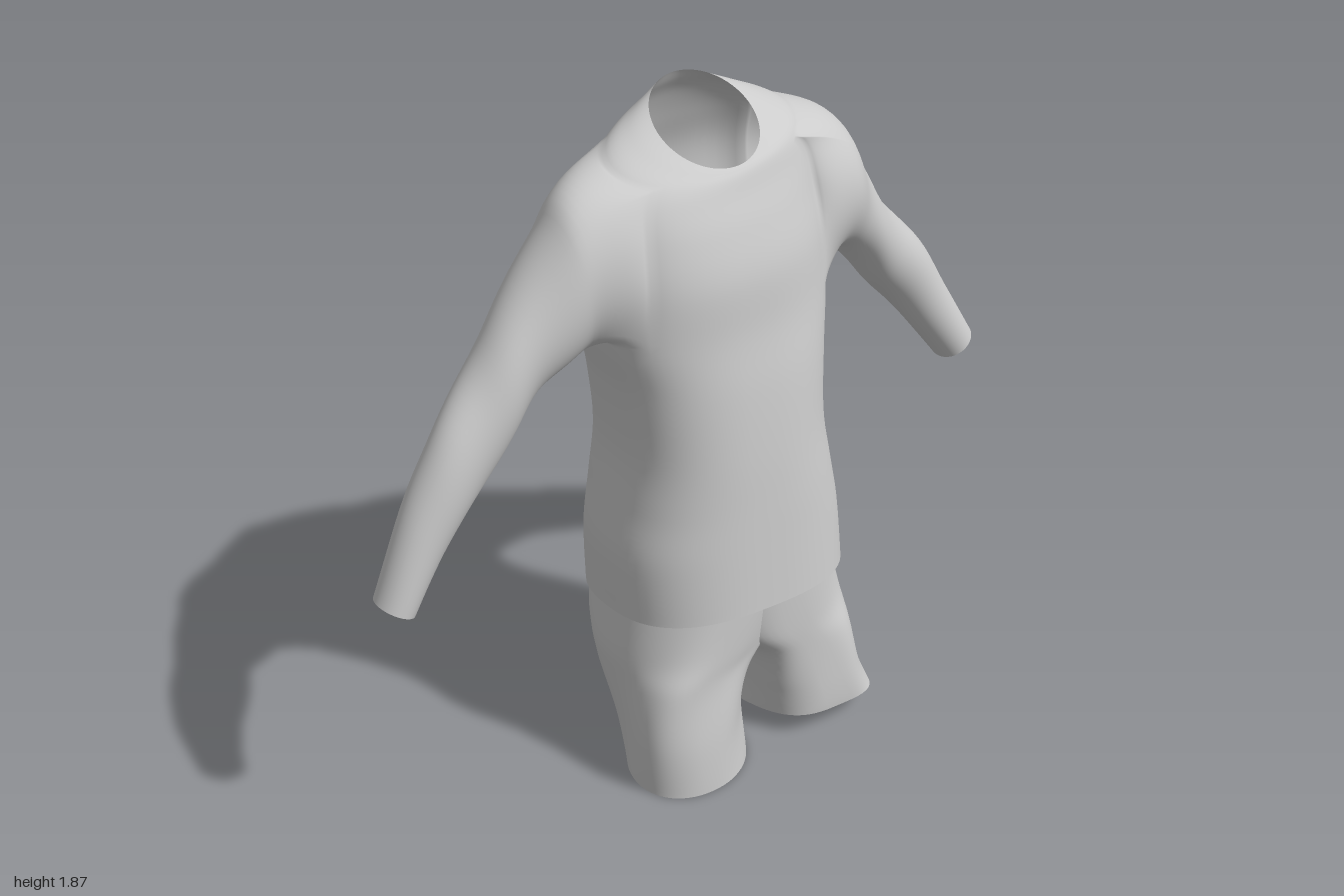
import * as THREE from 'three';

const fabric = new THREE.MeshStandardMaterial({ color: 0xcccccc, side: THREE.DoubleSide });
const SIDES = 64;

// Smoothly interpolates a list of equal-length number rows at t in 0..1
function sample(rows, t) {
  const f = t * (rows.length - 1);
  const i = Math.min(Math.floor(f), rows.length - 2);
  const u = f - i;
  const row = (k) => rows[Math.max(0, Math.min(rows.length - 1, k))];
  return rows[i].map((b, k) => {
    const a = row(i - 1)[k], c = row(i + 1)[k], d = row(i + 2)[k];
    return b + 0.5 * u * (c - a + u * (2 * a - 5 * b + 4 * c - d + u * (3 * (b - c) + d - a)));
  });
}

// Signed power, for rounded-box cross-sections
const spow = (v, n) => Math.sign(v) * Math.pow(Math.abs(v), 2 / n);

// Stacked rings; isHole(ring, side) leaves openings in the wall
// Rows: y, xMin, xMax, zBack, zFront, tilt (y per z), twist (z per x), skew (x per z), squareness
function upright(rows, rings, fold, isHole) {
  const pos = [], index = [];
  for (let i = 0; i <= rings; i++) {
    const [y, x0, x1, z0, z1, tilt, twist, skew, n] = sample(rows, i / rings);
    for (let j = 0; j < SIDES; j++) {
      const ang = (j / SIDES) * Math.PI * 2;
      const s = (1 + fold(i / rings, ang)) / 2;
      const dx = spow(Math.cos(ang), n) * s * (x1 - x0);
      const dz = spow(Math.sin(ang), n) * s * (z1 - z0);
      const z = (z0 + z1) / 2 + dz + twist * dx;
      pos.push((x0 + x1) / 2 + dx + skew * dz, y + tilt * z, z);
      if (i === rings || isHole(i, j)) continue;
      const a = i * SIDES + j, b = i * SIDES + ((j + 1) % SIDES);
      index.push(a, a + SIDES, b, b, a + SIDES, b + SIDES);
    }
  }
  return { pos, index };
}

// Armhole: grid rectangle cut from the body wall around each flank
const HOLE = { low: 30, high: 54, half: 7 };

// Vertex loop around the armhole centred on grid column mid
function armholeLoop(mid) {
  const { low, high, half } = HOLE;
  const at = (i, j) => i * SIDES + ((mid + j + SIDES) % SIDES);
  const loop = [];
  for (let j = -half; j < half; j++) loop.push(at(low, j));
  for (let i = low; i < high; i++) loop.push(at(i, half));
  for (let j = half; j > -half; j--) loop.push(at(high, j));
  for (let i = high; i > low; i--) loop.push(at(i, -half));
  return loop;
}

// Grows a sleeve from an armhole. Rows: upper edge x, y, lower edge x, y, centre z, radius in z
function addSleeve({ pos, index }, mid, side, rows) {
  const loop = armholeLoop(mid);
  const root = loop.map((v) => pos.slice(v * 3, v * 3 + 3));
  const box = new THREE.Box3().setFromPoints(root.map((p) => new THREE.Vector3(...p)));
  const c = box.getCenter(new THREE.Vector3()), h = box.getSize(new THREE.Vector3()).divideScalar(2);
  const angles = root.map((p) => Math.atan2((p[1] - c.y) / h.y, (p[2] - c.z) / h.z));
  const rings = 44;
  let prev = loop;
  for (let i = 1; i <= rings; i++) {
    const t = i / rings;
    const [ux, uy, lx, ly, z, rz] = sample(rows, t);
    const w = THREE.MathUtils.smoothstep(t, -0.06, 0.24);
    const ring = angles.map((a, k) => {
      const crease = 1 + 0.025 * Math.sin(t * 26 + 2 * a) * Math.sin(Math.PI * t);
      const s = Math.sin(a) * crease / 2;
      const p = [
        side * ((ux + lx) / 2 + s * (ux - lx)),
        (uy + ly) / 2 + s * (uy - ly),
        z + Math.cos(a) * rz * crease,
      ];
      pos.push(...p.map((v, n) => THREE.MathUtils.lerp(root[k][n], v, w)));
      return pos.length / 3 - 1;
    });
    ring.forEach((v, k) => {
      const n = (k + 1) % ring.length;
      index.push(prev[n], prev[k], v, prev[n], v, ring[n]);
    });
    prev = ring;
  }
}

function toMesh(name, { pos, index }) {
  const geo = new THREE.BufferGeometry();
  geo.setAttribute('position', new THREE.Float32BufferAttribute(pos, 3));
  geo.setIndex(index);
  geo.computeVertexNormals();
  const mesh = new THREE.Mesh(geo, fabric);
  mesh.name = name;
  return mesh;
}

export function createModel() {
  const model = new THREE.Group();
  model.name = 'shirtAndShorts';

  // Shirt body, hem to tilted neck opening
  const body = [
    [0.515, -0.33, 0.34, -0.27, 0.29, 0.115, 0, 0, 2.6],
    [0.70, -0.335, 0.33, -0.262, 0.28, 0.06, 0, 0, 2.5],
    [0.85, -0.312, 0.305, -0.258, 0.272, 0, 0, 0, 2.5],
    [1.00, -0.295, 0.285, -0.258, 0.262, 0, -0.02, 0, 2.5],
    [1.18, -0.31, 0.30, -0.268, 0.245, 0, -0.05, 0, 2.5],
    [1.33, -0.345, 0.33, -0.272, 0.225, 0, -0.09, 0, 2.4],
    [1.48, -0.345, 0.335, -0.28, 0.215, 0, -0.13, 0, 2.3],
    [1.60, -0.34, 0.33, -0.27, 0.185, -0.03, -0.15, 0, 2.2],
    [1.69, -0.325, 0.315, -0.23, 0.155, -0.12, -0.14, 0, 2.1],
    [1.75, -0.285, 0.27, -0.19, 0.14, -0.28, -0.1, 0, 2],
    [1.785, -0.205, 0.195, -0.155, 0.128, -0.45, -0.04, 0, 2],
    [1.805, -0.145, 0.125, -0.135, 0.12, -0.6, 0, 0, 2],
  ];
  // Drape folds run down the back and flanks
  const shirtFold = (t, a) => {
    const back = Math.max(0, 0.35 - Math.sin(a)) / 1.35;
    return 0.022 * back * Math.sin(9 * a + 5 * t) * Math.sin(Math.PI * Math.min(1, t * 1.25));
  };
  const inArmhole = (i, j) => {
    const k = (j + HOLE.half) % (SIDES / 2);
    return i >= HOLE.low && i < HOLE.high && k < HOLE.half * 2;
  };
  const shirt = upright(body, 66, shirtFold, inArmhole);

  // Sleeves flow out of the shoulders and end in open cuffs
  addSleeve(shirt, 0, 1, [
    [0.31, 1.752, 0.33, 1.335, -0.075, 0.195],
    [0.385, 1.728, 0.35, 1.325, -0.085, 0.182],
    [0.45, 1.655, 0.40, 1.315, -0.105, 0.163],
    [0.525, 1.54, 0.465, 1.295, -0.135, 0.135],
    [0.60, 1.415, 0.53, 1.225, -0.155, 0.12],
    [0.70, 1.30, 0.61, 1.13, -0.17, 0.10],
    [0.81, 1.175, 0.71, 1.02, -0.18, 0.085],
    [0.90, 1.02, 0.81, 0.90, -0.18, 0.072],
    [0.995, 0.86, 0.895, 0.79, -0.18, 0.066],
  ]);
  addSleeve(shirt, SIDES / 2, -1, [
    [0.32, 1.754, 0.345, 1.335, -0.01, 0.18],
    [0.40, 1.732, 0.365, 1.325, 0.0, 0.15],
    [0.47, 1.65, 0.42, 1.305, 0.012, 0.125],
    [0.60, 1.48, 0.52, 1.265, 0.022, 0.103],
    [0.70, 1.35, 0.60, 1.17, 0.035, 0.088],
    [0.81, 1.21, 0.70, 1.05, 0.05, 0.076],
    [0.90, 1.05, 0.81, 0.92, 0.058, 0.067],
    [0.998, 0.82, 0.905, 0.77, 0.065, 0.06],
  ]);
  model.add(toMesh('shirt', shirt));

  // Shorts: two legs that overlap at the hips and part below the crotch
  const legFold = (t, a) => 0.025 * Math.sin(5 * a + 7 * t) * Math.sin(Math.PI * t);
  const addLeg = (name, rows) => model.add(toMesh(name, upright(rows, 30, legFold, () => false)));
  addLeg('leftShortsLeg', [
    [0.055, 0.06, 0.40, -0.22, 0.25, 0.11, 0, 0.17, 3.3],
    [0.17, 0.05, 0.38, -0.225, 0.25, 0.05, 0, 0.08, 3],
    [0.32, 0.01, 0.36, -0.235, 0.25, 0, 0, 0, 2.8],
    [0.42, -0.11, 0.34, -0.24, 0.25, 0, 0, 0, 2.6],
    [0.56, -0.18, 0.31, -0.225, 0.255, 0.1, 0, 0, 2.4],
  ]);
  addLeg('rightShortsLeg', [
    [0.012, -0.33, 0.015, -0.04, 0.29, 0, 0, -0.15, 2.1],
    [0.17, -0.335, 0.01, -0.09, 0.28, 0, 0, -0.15, 2.3],
    [0.32, -0.338, 0.03, -0.17, 0.265, 0, 0, -0.05, 2.5],
    [0.42, -0.335, 0.12, -0.22, 0.255, 0, 0, 0, 2.6],
    [0.56, -0.315, 0.18, -0.225, 0.255, 0.1, 0, 0, 2.4],
  ]);

  return model;
}
